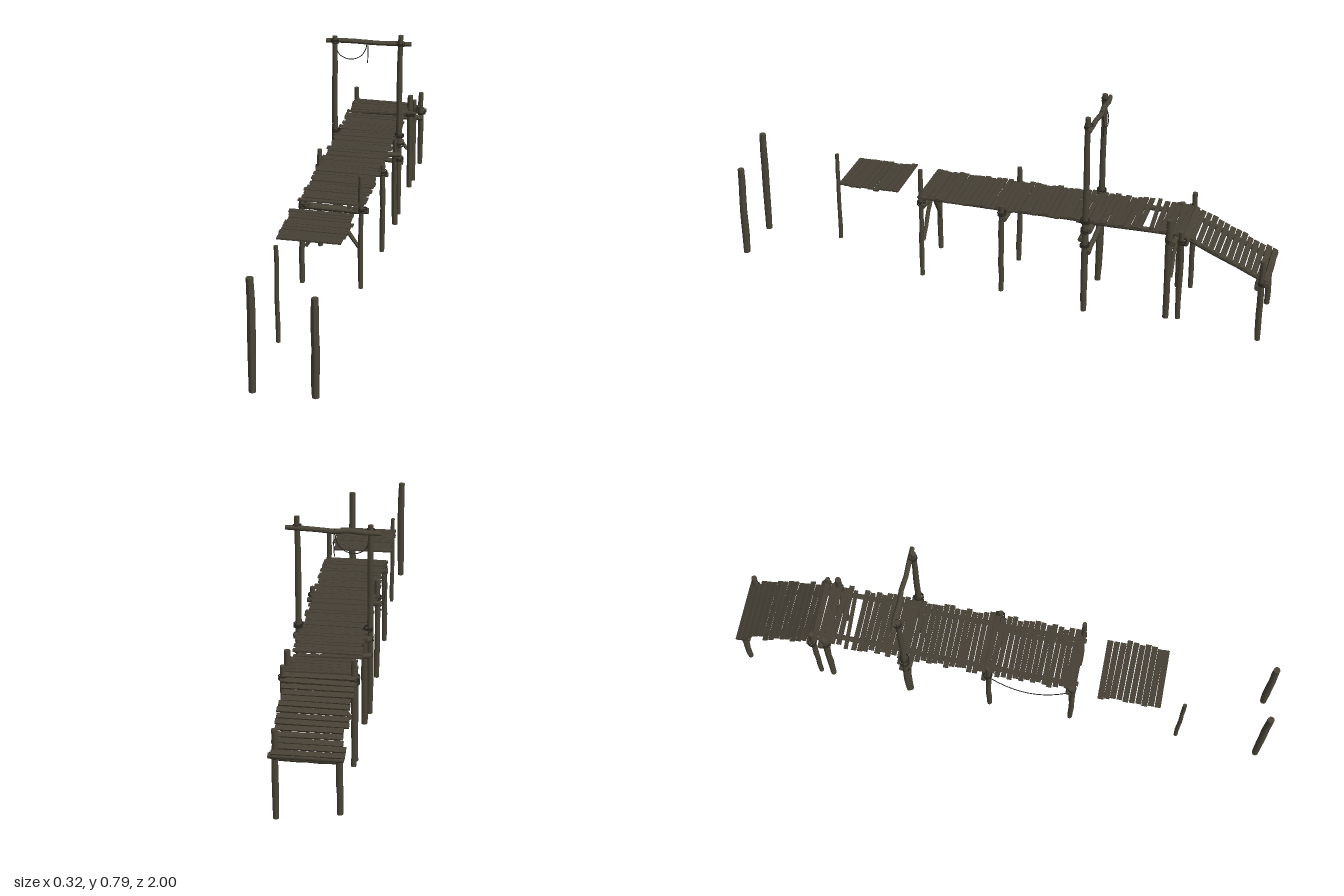
import * as THREE from 'three';

export function createModel() {
  const root = new THREE.Group();
  root.name = 'brokenPier';
  const wood = new THREE.MeshStandardMaterial({ color: 0x4b4538 });
  wood.name = 'weathered wood';
  const plankWood = new THREE.MeshStandardMaterial({ color: 0x464035 });
  plankWood.name = 'plank wood';
  const rope = new THREE.MeshStandardMaterial({ color: 0x2b2721 });
  rope.name = 'dark rope';

  let seed = 7;
  const rnd = () => ((seed = (seed * 16807) % 2147483647) / 2147483647);
  const jit = (a) => (rnd() * 2 - 1) * a;
  const V = (x, y, z) => new THREE.Vector3(x, y, z);

  const add = (name, geo, mat) => {
    const mesh = new THREE.Mesh(geo, mat);
    mesh.name = name;
    root.add(mesh);
    return mesh;
  };

  // Slightly crooked log between two points, with softened ends
  function log(name, a, b, r, bend = 0.0015) {
    const len = a.distanceTo(b);
    const geo = new THREE.CylinderGeometry(r, r, len, 9, 6);
    const p = geo.attributes.position;
    const rings = Array.from({ length: 7 }, (_, i) => ({
      s: i === 0 || i === 6 ? 0.9 : 1 + jit(0.07), x: jit(bend), z: jit(bend),
    }));
    for (let i = 0; i < p.count; i++) {
      const k = rings[Math.round((p.getY(i) / len + 0.5) * 6)];
      p.setX(i, p.getX(i) * k.s + k.x);
      p.setZ(i, p.getZ(i) * k.s + k.z);
    }
    geo.computeVertexNormals();
    const mesh = add(name, geo, wood);
    mesh.position.copy(a).lerp(b, 0.5);
    mesh.quaternion.setFromUnitVectors(V(0, 1, 0), b.clone().sub(a).normalize());
  }
  const post = (x, z, y0, y1, r = 0.012) => log('post', V(x, y0, z), V(x, y1, z), r);
  const beam = (y, z, w = 0.125, r = 0.011, tilt = 0) =>
    log('crossBeam', V(-w, y + tilt, z), V(w, y - tilt, z), r);

  // Rope windings around a post
  function lashing(x, y, z, r = 0.0145) {
    for (let i = -1; i <= 1; i++) {
      const t = add('lashing', new THREE.TorusGeometry(r, 0.0024, 5, 14), rope);
      t.position.set(x, y + i * 0.005, z);
      t.rotation.set(Math.PI / 2 + jit(0.18), jit(0.18), 0);
    }
  }
  const hanging = (name, pts, r = 0.0017) =>
    add(name, new THREE.TubeGeometry(new THREE.CatmullRomCurve3(pts), 28, r, 5), rope);

  // Run of uneven planks from z0,y0 to z1,y1
  function planks(name, z0, y0, z1, y1, x0, x1, pitch = 0.0215) {
    const n = Math.round(Math.abs(z1 - z0) / pitch);
    const slope = Math.atan2(y1 - y0, z0 - z1);
    for (let i = 0; i < n; i++) {
      const t = (i + 0.5) / n;
      const a = x0 + jit(0.008), b = x1 + jit(0.008);
      const m = add(name, new THREE.BoxGeometry(b - a, 0.006, pitch * (0.84 + rnd() * 0.12)), plankWood);
      m.position.set((a + b) / 2, y0 + (y1 - y0) * t + jit(0.0012), z0 + (z1 - z0) * t);
      m.rotation.set(slope + jit(0.03), jit(0.016), jit(0.008));
    }
  }

  // Lone front posts
  post(-0.105, 0.99, 0.03, 0.44, 0.0135);
  post(0.101, 0.99, 0.035, 0.39, 0.0135);
  post(-0.1, 0.685, 0.04, 0.4, 0.008);

  // Pier posts: x, z, bottom, top, radius
  [
    [-0.112, 0.28, 0.055, 0.385, 0.01], [0.1, 0.28, 0.055, 0.49, 0.009],
    [-0.118, -0.03, 0.05, 0.44, 0.01], [0.118, -0.03, 0.05, 0.4, 0.01],
    [-0.11, -0.338, 0.02, 0.39, 0.012], [0.108, -0.338, 0.015, 0.39, 0.012],
    [-0.112, -0.64, 0.04, 0.39, 0.012], [0.112, -0.64, 0.04, 0.435, 0.012],
    [-0.115, -0.685, 0.045, 0.435, 0.01], [0.12, -0.685, 0.05, 0.4, 0.01],
    [-0.105, -0.97, 0.03, 0.25, 0.011], [0.1, -0.97, 0, 0.32, 0.011],
  ].forEach((p) => post(...p));

  // Gate with bar and slack rope
  post(-0.128, -0.34, 0.063, 0.77, 0.0105);
  post(0.122, -0.34, 0.06, 0.79, 0.0105);
  log('gateBar', V(-0.163, 0.745, -0.355), V(0.16, 0.755, -0.355), 0.009, 0.003);
  [[-0.128, 0.75], [0.122, 0.755]].forEach(([x, y]) => lashing(x, y, -0.344, 0.014));
  hanging('gateRope', [V(-0.122, 0.71, -0.352), V(-0.11, 0.688, -0.36), V(-0.075, 0.674, -0.364),
    V(-0.035, 0.688, -0.364), V(-0.014, 0.72, -0.364), V(-0.008, 0.76, -0.358)]);
  hanging('ropeEnd', [V(-0.008, 0.76, -0.36), V(-0.006, 0.71, -0.368), V(-0.008, 0.662, -0.366)]);

  // Cross beams under the deck
  beam(0.352, 0.266, 0.125, 0.012);
  beam(0.355, -0.045, 0.135, 0.01);
  beam(0.355, -0.355, 0.135, 0.012);
  beam(0.283, -0.355, 0.135, 0.01, 0.012);
  beam(0.315, -0.325, 0.13, 0.01);
  beam(0.352, -0.655, 0.13, 0.012);
  beam(0.355, -0.7, 0.125, 0.01);
  beam(0.213, -0.955, 0.11, 0.011);
  beam(0.235, -0.985, 0.12, 0.01);

  // Long stringers, level and sloping
  [-0.088, 0.08].forEach((x) => {
    log('stringer', V(x, 0.37, 0.295), V(x, 0.37, -0.34), 0.0095);
    log('stringer', V(x + 0.008, 0.37, -0.3), V(x + 0.005, 0.37, -0.7), 0.0095);
    log('rampStringer', V(x, 0.365, -0.675), V(x, 0.228, -0.985), 0.0095);
  });
  log('stringer', V(0.06, 0.37, 0.29), V(0.062, 0.37, -0.05), 0.008);

  // Diagonal braces and lashings on both sides
  for (const s of [-1, 1]) {
    for (const z of [0.272, -0.648]) log('brace', V(s * 0.1, 0.2, z), V(s * 0.008, 0.342, z), 0.0075);
    lashing(s * 0.106, 0.36, 0.275);
    lashing(s * 0.118, 0.37, -0.033);
    lashing(s * 0.122, 0.39, -0.34, 0.0155);
    lashing(s * 0.122, 0.352, -0.342, 0.0165);
    lashing(s * 0.122, 0.293, -0.34, 0.0155);
    lashing(s * 0.112, 0.355, -0.643, 0.016);
    lashing(s * 0.118, 0.36, -0.688);
    lashing(s * 0.103, 0.23, -0.972);
  }

  // Deck, ramp and detached platform
  planks('deckPlank', 0.29, 0.382, -0.54, 0.382, -0.118, 0.113);
  planks('deckPlank', -0.578, 0.382, -0.69, 0.382, -0.122, 0.112);
  planks('rampPlank', -0.685, 0.379, -0.995, 0.242, -0.116, 0.11);
  planks('loosePlatformPlank', 0.6, 0.384, 0.37, 0.384, -0.127, 0.103, 0.023);
  const skew = add('skewedPlank', new THREE.BoxGeometry(0.23, 0.006, 0.014), plankWood);
  skew.position.set(-0.012, 0.384, -0.565);
  skew.rotation.y = 0.06;

  // Slack rope along the side
  const sag = [];
  for (let i = 0; i <= 8; i++) {
    const t = i / 4 - 1;
    sag.push(V(-0.122, 0.265 + 0.098 * t * t, 0.12 - 0.152 * t));
  }
  hanging('sideRope', sag);

  return root;
}
